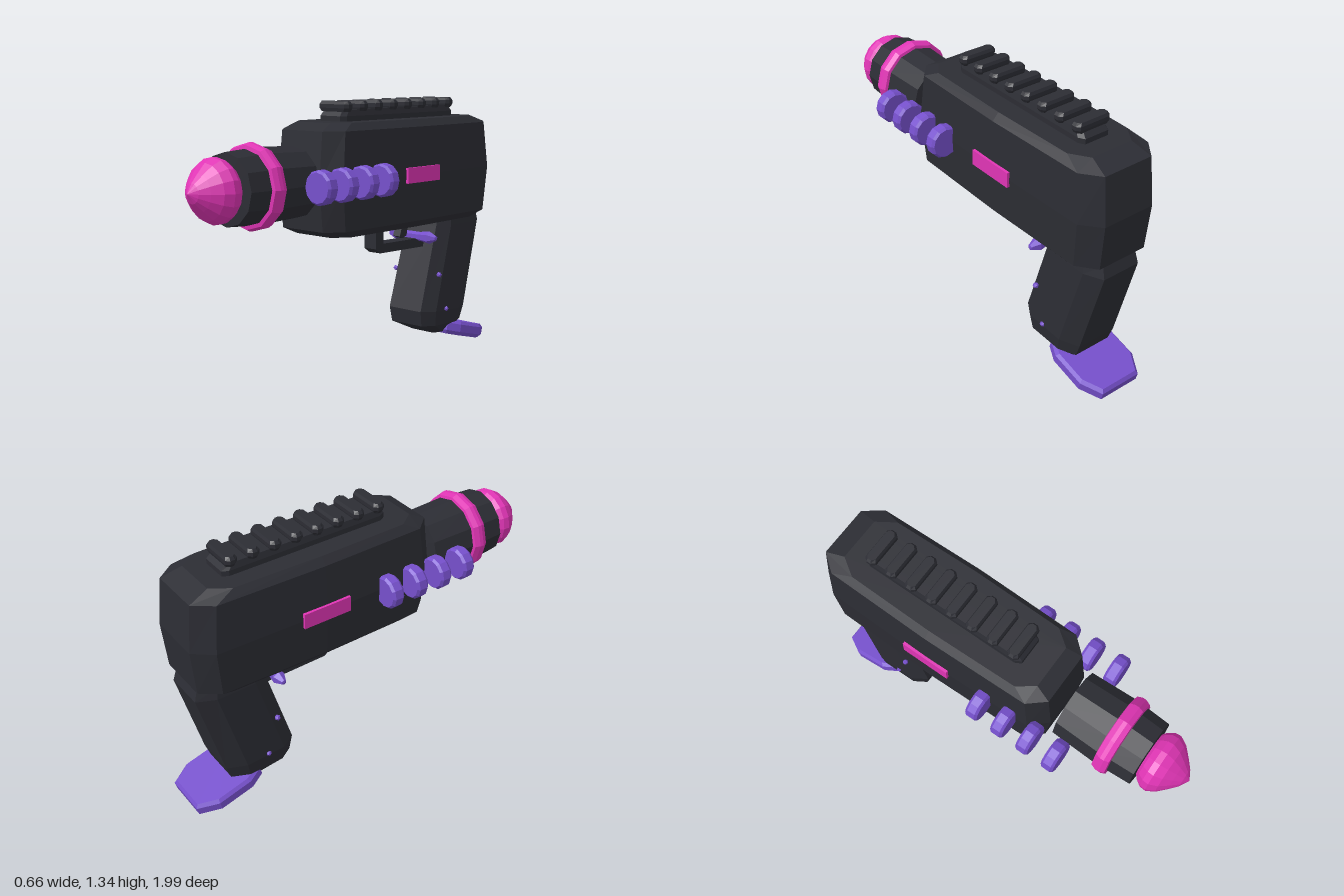
import * as THREE from 'three';

const mat = (name, color) => {
  const m = new THREE.MeshStandardMaterial({ color });
  m.name = name;
  return m;
};

// Faceted normals for the low-poly look
function facet(geo) {
  const g = geo.index ? geo.toNonIndexed() : geo;
  g.computeVertexNormals();
  return g;
}

// Skin convex rings of [x, y, z], stacked bottom to top, with closed ends
function loft(rings) {
  const n = rings[0].length, pos = [];
  const tri = (a, b, c) => pos.push(...a, ...b, ...c);
  for (let k = 0; k < rings.length - 1; k++) {
    for (let i = 0; i < n; i++) {
      const j = (i + 1) % n, lo = rings[k], hi = rings[k + 1];
      tri(lo[i], lo[j], hi[j]);
      tri(lo[i], hi[j], hi[i]);
    }
  }
  const bottom = rings[0], top = rings[rings.length - 1];
  for (let i = 1; i < n - 1; i++) {
    tri(bottom[0], bottom[i + 1], bottom[i]);
    tri(top[0], top[i], top[i + 1]);
  }
  const g = new THREE.BufferGeometry();
  g.setAttribute('position', new THREE.Float32BufferAttribute(pos, 3));
  g.computeVertexNormals();
  return g;
}

// Mirror a half outline of [x, y, z], given front to back on the +x side
const mirror = half => [...half, ...half.map(([x, y, z]) => [-x, y, z]).reverse()];

// Turned shape along z from [radius, z] pairs
function turned(profile, sides) {
  const pts = profile.map(([r, z]) => new THREE.Vector2(r, z));
  return facet(new THREE.LatheGeometry(pts, sides).rotateX(Math.PI / 2));
}

// Side outline of [z, y] points, extruded across x
function sideCut(outline, width) {
  const shape = new THREE.Shape(outline.map(([z, y]) => new THREE.Vector2(z, y)));
  const g = new THREE.ExtrudeGeometry(shape, { depth: width, bevelEnabled: false });
  return facet(g.translate(0, 0, -width / 2).rotateY(-Math.PI / 2));
}

export function createModel() {
  const root = new THREE.Group();
  root.name = 'toyBlaster';
  const black = mat('charcoal', 0x2c2d34);
  const purple = mat('purple', 0x7650cc);
  const pink = mat('pink', 0xe035b5);
  const add = (name, geo, material, x = 0, y = 0, z = 0) => {
    const m = new THREE.Mesh(geo, material);
    m.name = name;
    m.position.set(x, y, z);
    root.add(m);
    return m;
  };

  // Body: chamfered block, widest at mid height and mid length
  const bodyRing = (y, w, c, zf, zb) => mirror([
    [c, y, zf], [w * 0.95, y, zf - 0.08], [w, y, -0.3], [w * 0.95, y, zb + 0.09], [c, y, zb],
  ]);
  add('body', loft([
    bodyRing(0.715, 0.178, 0.11, 0.24, -0.86),
    bodyRing(0.75, 0.21, 0.13, 0.315, -0.935),
    bodyRing(0.98, 0.222, 0.135, 0.34, -0.955),
    bodyRing(1.215, 0.21, 0.13, 0.315, -0.93),
    bodyRing(1.25, 0.178, 0.11, 0.24, -0.83),
  ]), black);

  // Barrel, its band and the tip
  add('barrel', turned([[0, 0.355], [0.168, 0.372], [0.176, 0.6], [0.165, 0.785], [0, 0.79]], 12), black, 0, 0.98);
  add('barrelBand', turned([[0.17, 0.595], [0.19, 0.6], [0.2, 0.625], [0.2, 0.645], [0.19, 0.668], [0.165, 0.672]], 12), pink, 0, 0.98);
  add('tip', turned([[0.1, 0.78], [0.125, 0.8], [0.145, 0.83], [0.148, 0.86], [0.126, 0.9],
    [0.085, 0.94], [0.045, 0.975], [0, 1.0]], 16), pink, 0, 0.98);

  // Side discs and side plates
  const disc = turned([[0, -0.032], [0.07, -0.032], [0.08, -0.02], [0.08, 0.02], [0.07, 0.032], [0, 0.032]], 12);
  const plate = facet(new THREE.BoxGeometry(0.03, 0.076, 0.25));
  for (const s of [1, -1]) {
    for (let i = 0; i < 4; i++) add('sideDisc', disc, purple, s * 0.25, 0.98, 0.025 + i * 0.14);
    add('sidePlate', plate, pink, s * 0.217, 0.982, -0.305);
  }

  // Top rail with ridges
  const railRing = (y, w, zf, zb) => mirror([[w * 0.8, y, zf], [w, y, zf - 0.03], [w, y, zb + 0.03], [w * 0.8, y, zb]]);
  add('rail', loft([
    railRing(1.24, 0.08, 0.125, -0.735),
    railRing(1.275, 0.08, 0.125, -0.735),
    railRing(1.305, 0.072, 0.1, -0.71),
  ]), black);
  const ridgeRing = (y, w, d) => mirror([[w - 0.015, y, d], [w, y, d * 0.4], [w, y, -d * 0.4], [w - 0.015, y, -d]]);
  const ridge = loft([ridgeRing(1.295, 0.085, 0.024), ridgeRing(1.312, 0.095, 0.029),
    ridgeRing(1.33, 0.095, 0.029), ridgeRing(1.344, 0.085, 0.022)]);
  for (let i = 0; i < 8; i++) add('railRidge', ridge, black, 0, 0, 0.085 - i * 0.111);

  // Grip: slanted octagonal column
  const gripRing = (w, c, zf, yf, zb, yb) => mirror([[0, c], [0.2, w], [0.75, w], [1, c]]
    .map(([t, x]) => [x, yf + (yb - yf) * t, zf + (zb - zf) * t]));
  add('grip', loft([
    gripRing(0.1, 0.07, -0.6, 0.095, -0.77, 0.125),
    gripRing(0.14, 0.1, -0.46, 0.16, -0.79, 0.15),
    gripRing(0.15, 0.105, -0.445, 0.24, -0.815, 0.22),
    gripRing(0.142, 0.1, -0.575, 0.68, -0.937, 0.68),
    gripRing(0.136, 0.095, -0.59, 0.74, -0.92, 0.74),
  ]), black);

  // Grip base plate, sloping down to the back
  const baseRing = (y, k) => mirror([[0.13, 0.175], [0.165, 0.1], [0.165, -0.08], [0.11, -0.18]]
    .map(([x, z]) => [x * k, y, z * k]));
  const base = add('gripBase', loft([
    baseRing(-0.04, 0.9), baseRing(-0.02, 1), baseRing(0.02, 1), baseRing(0.036, 0.92),
  ]), purple, 0, 0.088, -0.813);
  base.rotation.x = -0.26;

  // Trigger guard and trigger
  add('triggerGuard', sideCut([[-0.165, 0.73], [-0.165, 0.6], [-0.2, 0.575], [-0.6, 0.567],
    [-0.6, 0.615], [-0.222, 0.622], [-0.222, 0.73]], 0.076), black);
  add('trigger', sideCut([[-0.405, 0.73], [-0.37, 0.64], [-0.395, 0.628], [-0.425, 0.64], [-0.445, 0.73]], 0.045), black);

  // Cross bar in front of the grip, with pointed ends
  const bar = turned([[0, -0.157], [0.013, -0.153], [0.033, -0.11], [0.024, -0.05],
    [0.024, 0.05], [0.033, 0.11], [0.013, 0.153], [0, 0.157]], 6);
  add('crossBar', bar, purple, 0, 0.627, -0.505).rotation.y = Math.PI / 2;

  // Grip studs
  const stud = facet(new THREE.IcosahedronGeometry(0.015, 0));
  for (const s of [1, -1]) {
    add('gripStud', stud, purple, s * 0.146, 0.43, -0.545);
    add('gripStud', stud, purple, s * 0.148, 0.24, -0.605);
  }

  return root;
}
